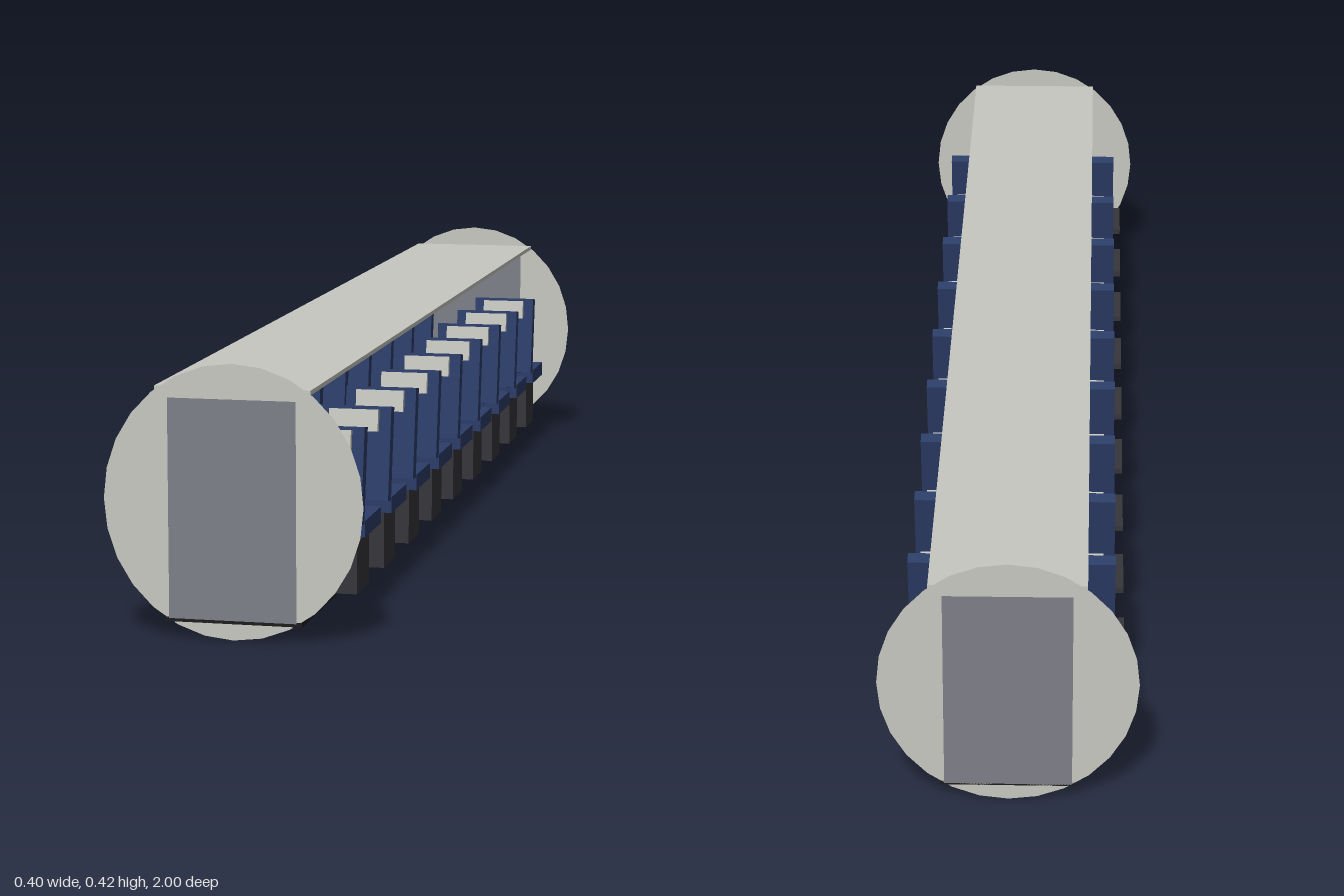
import * as THREE from 'three';

function material(name, color, side = THREE.FrontSide) {
  const m = new THREE.MeshStandardMaterial({ color, side });
  m.name = name;
  return m;
}

export function createModel() {
  const shell = material('light grey', 0xc8c8c2, THREE.DoubleSide);
  const panel = material('slate grey', 0x7e8088, THREE.DoubleSide);
  const navy = material('navy', 0x2c3d68);
  const charcoal = material('charcoal', 0x36353a);
  const black = material('black', 0x1c1c1e);

  const model = new THREE.Group();
  model.name = 'cabin';

  function add(parent, name, geometry, mat, x, y, z) {
    const mesh = new THREE.Mesh(geometry, mat);
    mesh.name = name;
    mesh.position.set(x, y, z);
    parent.add(mesh);
    return mesh;
  }
  const box = (w, h, d) => new THREE.BoxGeometry(w, h, d);

  // Floor and ceiling strips
  add(model, 'floor', box(0.212, 0.007, 1.99), black, 0, 0.0285, 0);
  add(model, 'ceiling', box(0.24, 0.007, 1.99), shell, 0, 0.38, 0);

  // Flat round bulkheads with a door panel on both faces
  const disc = new THREE.CircleGeometry(0.2, 28).scale(1, 1.05, 1);
  const door = new THREE.PlaneGeometry(0.197, 0.336);
  for (const s of [1, -1]) {
    const end = s > 0 ? 'front' : 'back';
    add(model, end + 'Bulkhead', disc, shell, 0, 0.21, s * 0.995);
    add(model, end + 'DoorOutside', door, panel, 0, 0.199, s);
    add(model, end + 'DoorInside', door, panel, 0, 0.199, s * 0.99);
  }

  // Seat: pedestal, cushion, one armrest and a tilted back with a head pad
  const pedestal = box(0.086, 0.095, 0.086);
  const cushion = box(0.118, 0.026, 0.118);
  const armrest = box(0.014, 0.01, 0.106);
  const backrest = box(0.118, 0.15, 0.023);
  const headPad = box(0.08, 0.035, 0.012);
  function seat(x, z) {
    const g = new THREE.Group();
    g.name = 'seat';
    g.position.set(x, 0, z);
    add(g, 'pedestal', pedestal, charcoal, 0, 0.0825, 0);
    add(g, 'cushion', cushion, navy, 0, 0.142, 0);
    add(g, 'armrest', armrest, charcoal, -0.066, 0.187, 0.002);
    const back = add(g, 'backrest', backrest, navy, 0, 0.226, 0.063);
    back.rotation.x = -0.17;
    add(back, 'headPad', headPad, shell, 0, 0.052, 0.016);
    return g;
  }

  // Two rows of nine seats
  for (let i = 0; i < 9; i++) {
    for (const x of [-0.104, 0.104]) model.add(seat(x, 0.758 - i * 0.198));
  }
  return model;
}
